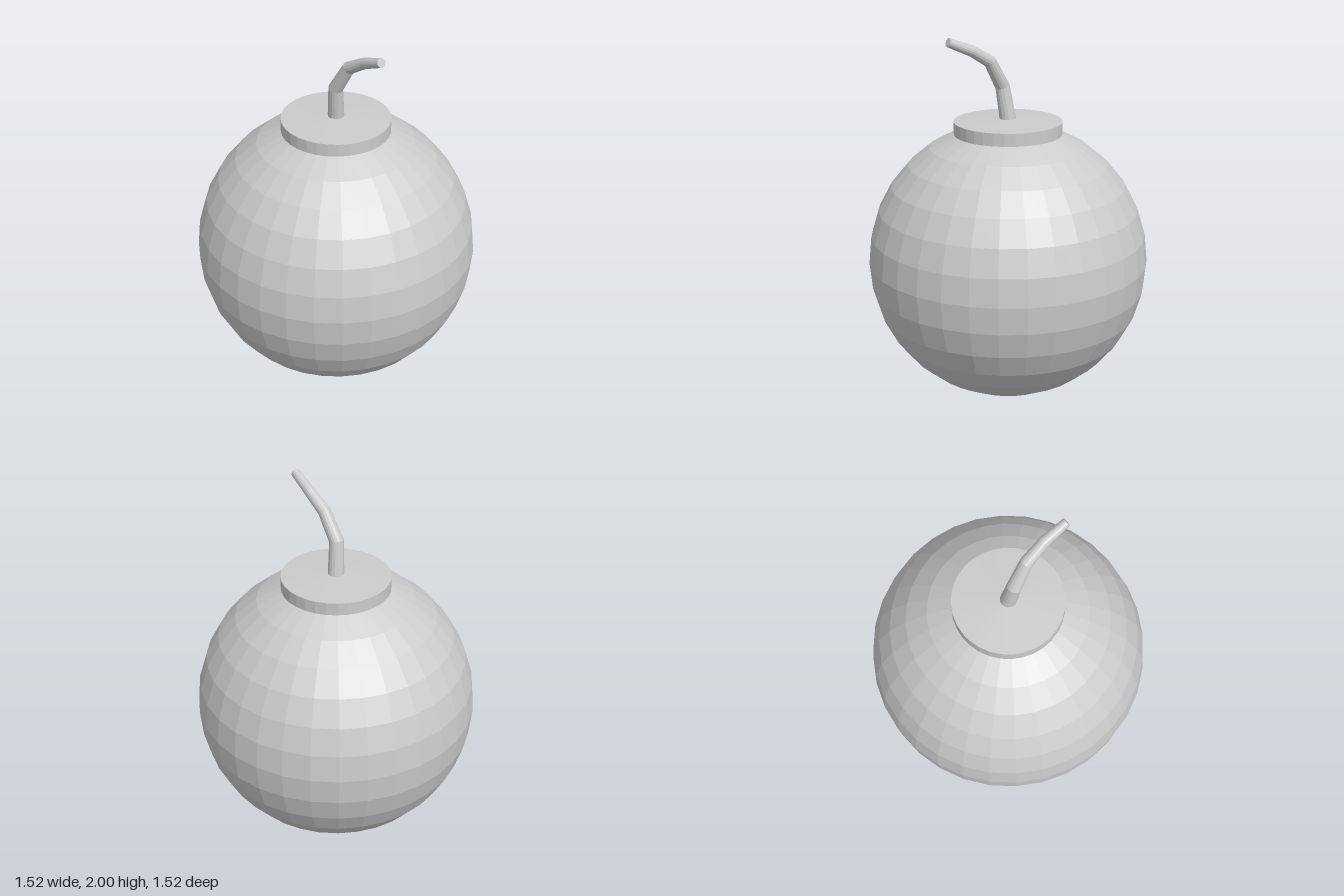
import * as THREE from 'three';

const RADIUS = 0.758;
const CENTER_Y = 0.761;
const SIDES = 32;
const NECK_ANGLE = Math.PI / 8;

const material = new THREE.MeshStandardMaterial({ color: 0xcccccc, flatShading: true });

function part(name, geometry, parent) {
  const mesh = new THREE.Mesh(geometry, material);
  mesh.name = name;
  parent.add(mesh);
  return mesh;
}

// Bent tube with one ring per path point, tapering from r0 to r1
function taperedTube(points, r0, r1, sides) {
  const curve = new THREE.CatmullRomCurve3(points);
  curve.getUtoTmapping = (u) => u; // keep rings exactly on the points
  const rings = points.length - 1;
  const geometry = new THREE.TubeGeometry(curve, rings, 1, sides);
  const pos = geometry.attributes.position;
  const v = new THREE.Vector3();
  for (let i = 0; i < pos.count; i++) {
    const t = Math.floor(i / (sides + 1)) / rings;
    const c = curve.getPoint(t);
    v.fromBufferAttribute(pos, i).sub(c).multiplyScalar(r0 + (r1 - r0) * t).add(c);
    pos.setXYZ(i, v.x, v.y, v.z);
  }
  geometry.computeVertexNormals();
  return { geometry, curve };
}

export function createModel() {
  const group = new THREE.Group();
  group.name = 'roundBomb';

  // Faceted ball, open where the collar sits
  const ball = part('body',
    new THREE.SphereGeometry(RADIUS, SIDES, 14, 0, Math.PI * 2, NECK_ANGLE, Math.PI - NECK_ANGLE), group);
  ball.position.y = CENTER_Y;

  // Collar: short straight wall with a very shallow conical lid
  const neckR = RADIUS * Math.sin(NECK_ANGLE);
  const neckY = CENTER_Y + RADIUS * Math.cos(NECK_ANGLE);
  part('collar', new THREE.LatheGeometry([
    new THREE.Vector2(neckR, neckY),
    new THREE.Vector2(neckR, 1.53),
    new THREE.Vector2(0, 1.546),
  ], SIDES), group);

  // Fuse curving up, to the left and forward
  const fuse = new THREE.Group();
  fuse.name = 'fuse';
  group.add(fuse);
  const path = [
    [0, 1.535, 0], [0.014, 1.715, 0.026], [0.1, 1.858, 0.042],
    [0.21, 1.925, 0.075], [0.333, 1.98, 0.128],
  ].map((p) => new THREE.Vector3(...p));
  const { geometry, curve } = taperedTube(path, 0.044, 0.024, 16);
  part('fuseCord', geometry, fuse);

  // Flat cut end of the fuse
  const tip = part('fuseTip', new THREE.CircleGeometry(0.024, 16), fuse);
  tip.position.copy(path[path.length - 1]);
  tip.quaternion.setFromUnitVectors(new THREE.Vector3(0, 0, 1), curve.getTangent(1));

  return group;
}
